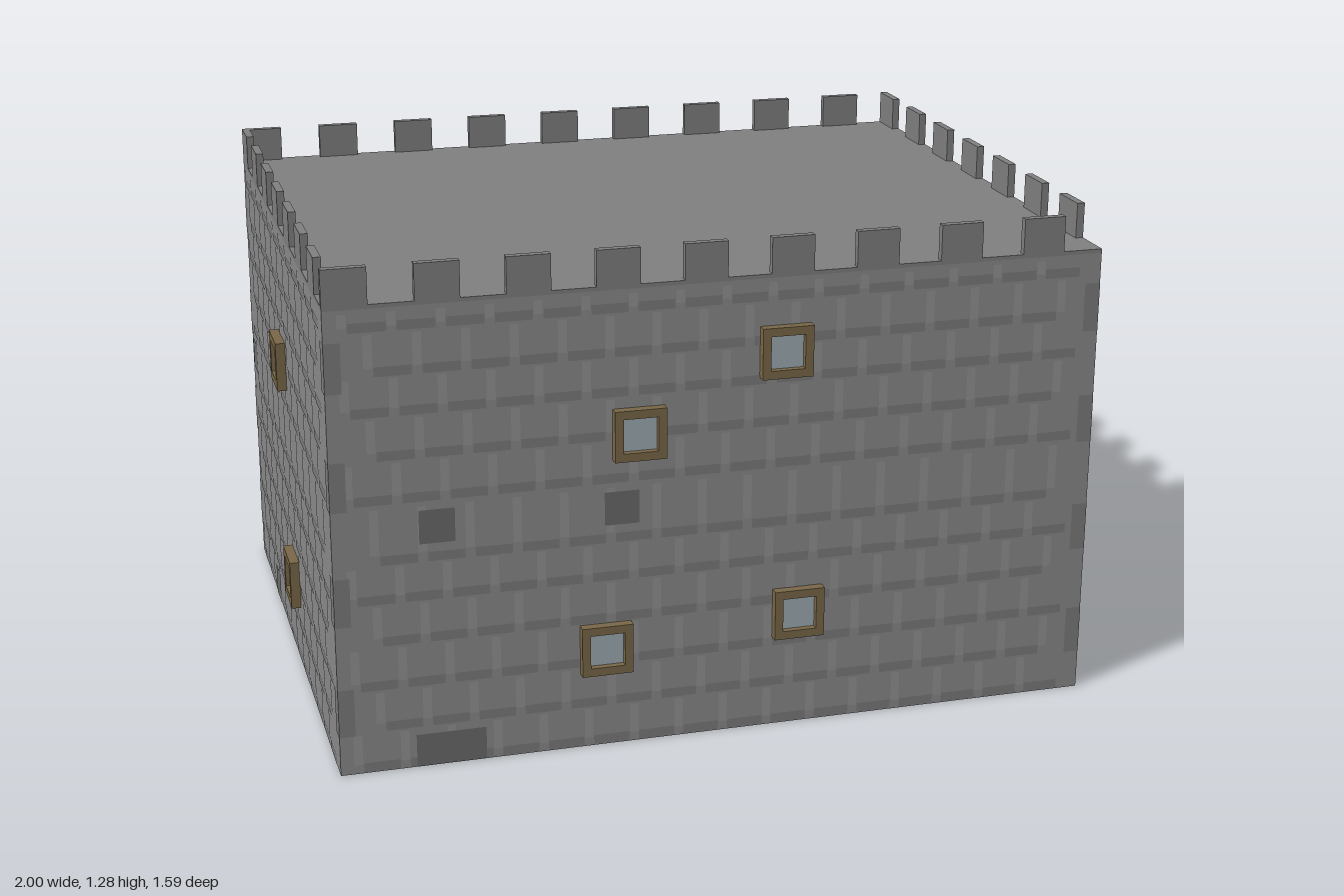
import * as THREE from 'three';
import { mergeGeometries } from 'three/addons/utils/BufferGeometryUtils.js';

const mat = (color) => new THREE.MeshStandardMaterial({ color, roughness: 1, flatShading: true });

const W = 1.95, D = 1.525, H = 1.195, ZC = 0.0075;
const BATTLEMENT_H = 0.09, BATTLEMENT_W = 0.108, BATTLEMENT_T = 0.02, STEP = 0.2175;

export function createModel() {
  const M = {
    stone: mat(0x8b8b8b), roof: mat(0x808080), joint: mat(0x7c7c7c), light: mat(0x949494),
    dark: mat(0x6c6c6c), wood: mat(0x7a6848), door: mat(0x75613f), glass: mat(0xa0adb3),
    iron: mat(0x3c3f44), ember: mat(0xa9854a),
  };
  const model = new THREE.Group();
  model.name = 'stoneKeep';

  const add = (parent, name, geometry, material, x = 0, y = 0, z = 0) => {
    const mesh = new THREE.Mesh(geometry, material);
    mesh.name = name;
    mesh.position.set(x, y, z);
    parent.add(mesh);
    return mesh;
  };
  const box = (parent, name, material, w, h, d, x, y, z) =>
    add(parent, name, new THREE.BoxGeometry(w, h, d), material, x, y, z);

  // Solid body and roof slab
  box(model, 'body', M.stone, W, H - 0.01, D, 0, (H - 0.01) / 2, ZC);
  box(model, 'roof', M.roof, W, 0.01, D, 0, H - 0.005, ZC);

  // Flat stone face lying just proud of a wall
  const face = (w, h, u, y, lift) => new THREE.PlaneGeometry(w, h).translate(u, y, lift);

  // Course pattern: dark bed joints and light upright joints, staggered by row
  const rows = [0.015, 0.12, 0.23, 0.345, 0.455, 0.555, 0.71, 0.82, 0.93, 1.03, 1.14];
  const addMasonry = (wall, width) => {
    const span = width - 0.09, count = Math.round(span / 0.115), pitch = span / count;
    const beds = [], uprights = [], quoins = [];
    rows.forEach((y, r) => {
      const shift = r % 2 ? pitch / 2 : 0;
      const next = r < rows.length - 1 ? rows[r + 1] : H - 0.01;
      for (let i = 0; i <= count; i++) {
        const u = -span / 2 + i * pitch + shift;
        if (u + pitch / 2 < span / 2) beds.push(face(pitch - 0.025, 0.024, u + pitch / 2, y, 0.0012));
        if (u < span / 2) uprights.push(face(0.022, (next - y) * 0.75, u, (next + y) / 2 - 0.005, 0.0008));
      }
    });
    // Darker corner stones on both edges
    for (const side of [-1, 1])
      for (const y of [0.165, 0.455, 0.75, 1.045])
        quoins.push(face(0.04, 0.125, side * (width / 2 - 0.02), y, 0.001));
    add(wall, 'bedJoints', mergeGeometries(beds), M.joint);
    add(wall, 'uprightJoints', mergeGeometries(uprights), M.light);
    add(wall, 'cornerStones', mergeGeometries(quoins), M.joint);
  };

  // Square window: wooden frame with a hole, pane set back inside
  const S = 0.13, P = 0.087;
  const square = (half, Type) => new Type([[-1, -1], [1, -1], [1, 1], [-1, 1]]
    .map(([x, y]) => new THREE.Vector2(x * half, y * half)));
  const frameShape = square(S / 2, THREE.Shape);
  frameShape.holes.push(square(P / 2, THREE.Path));
  const frameGeometry = new THREE.ExtrudeGeometry(frameShape, { depth: 0.025, bevelEnabled: false });
  const addWindow = (wall, u, y) => {
    const group = new THREE.Group();
    group.name = 'window';
    group.position.set(u, y, 0);
    add(group, 'windowFrame', frameGeometry, M.wood);
    box(group, 'windowPane', M.glass, P, P, 0.008, 0, 0, 0.004);
    wall.add(group);
  };

  // Each wall is laid out in its own plane: u across, y up, z outwards.
  // Dark stones are listed as [u, y, width].
  const walls = [
    { name: 'frontWall', width: W, at: [0, ZC + D / 2], turn: 0,
      windows: [[-0.22, 0.822], [0.15, 1.0], [-0.305, 0.265], [0.193, 0.307]],
      stones: [[-0.72, 0.632, 0.088], [-0.262, 0.632, 0.088], [-0.698, 0.044, 0.175]] },
    { name: 'leftWall', width: D, at: [W / 2, ZC], turn: Math.PI / 2,
      windows: [[0.04, 0.808], [-0.027, 0.13]],
      stones: [[0.718, 0.632, 0.088], [0.52, 0.044, 0.088]] },
    { name: 'backWall', width: W, at: [0, ZC - D / 2], turn: Math.PI,
      windows: [[-0.258, 0.72], [0.285, 1.088]],
      stones: [[-0.37, 0.632, 0.088], [0.365, 0.632, 0.088], [-0.587, 0.044, 0.088], [-0.41, 0.044, 0.088]] },
    { name: 'rightWall', width: D, at: [-W / 2, ZC], turn: -Math.PI / 2,
      windows: [[-0.042, 0.82], [0.043, 0.237]],
      stones: [[-0.69, 0.632, 0.088], [-0.38, 0.044, 0.088]] },
  ];
  const built = {};
  for (const { name, width, at, turn, windows, stones } of walls) {
    const wall = new THREE.Group();
    wall.name = name;
    wall.position.set(at[0], 0, at[1]);
    wall.rotation.y = turn;
    addMasonry(wall, width);
    add(wall, 'darkStones', mergeGeometries(stones.map(([u, y, w]) => face(w, 0.086, u, y, 0.002))), M.dark);
    windows.forEach(([u, y]) => addWindow(wall, u, y));
    model.add(wall);
    built[name] = wall;
  }

  // Door: backing slab and a slightly larger leaf in front
  const back = built.backWall;
  box(back, 'doorBacking', M.wood, 0.27, 0.44, 0.022, 0, 0.22, 0.011);
  box(back, 'doorLeaf', M.door, 0.305, 0.458, 0.02, 0, 0.229, 0.032);

  // Torches on either side of the door
  for (const side of [-1, 1]) {
    const torch = new THREE.Group();
    torch.name = 'torch';
    torch.position.set(side * 0.272, 0, 0.031);
    box(torch, 'torchHandle', M.iron, 0.018, 0.07, 0.02, 0, 0.225, 0);
    box(torch, 'torchHead', M.ember, 0.02, 0.024, 0.022, 0, 0.272, 0);
    back.add(torch);
  }

  // Battlements: long rows start at the -x corner, side rows at the back corner
  const battlements = new THREE.Group();
  battlements.name = 'battlements';
  const by = H + BATTLEMENT_H / 2;
  for (const s of [-1, 1]) {
    for (let i = 0; i < 9; i++)
      box(battlements, 'battlement', M.roof, BATTLEMENT_W, BATTLEMENT_H, BATTLEMENT_T,
        -W / 2 + BATTLEMENT_W / 2 + i * STEP, by, ZC + s * (D - BATTLEMENT_T) / 2);
    for (let i = 0; i < 7; i++)
      box(battlements, 'battlement', M.roof, BATTLEMENT_T, BATTLEMENT_H, BATTLEMENT_W,
        s * (W - BATTLEMENT_T) / 2, by, ZC - D / 2 + BATTLEMENT_W / 2 + i * STEP);
  }
  model.add(battlements);

  return model;
}
